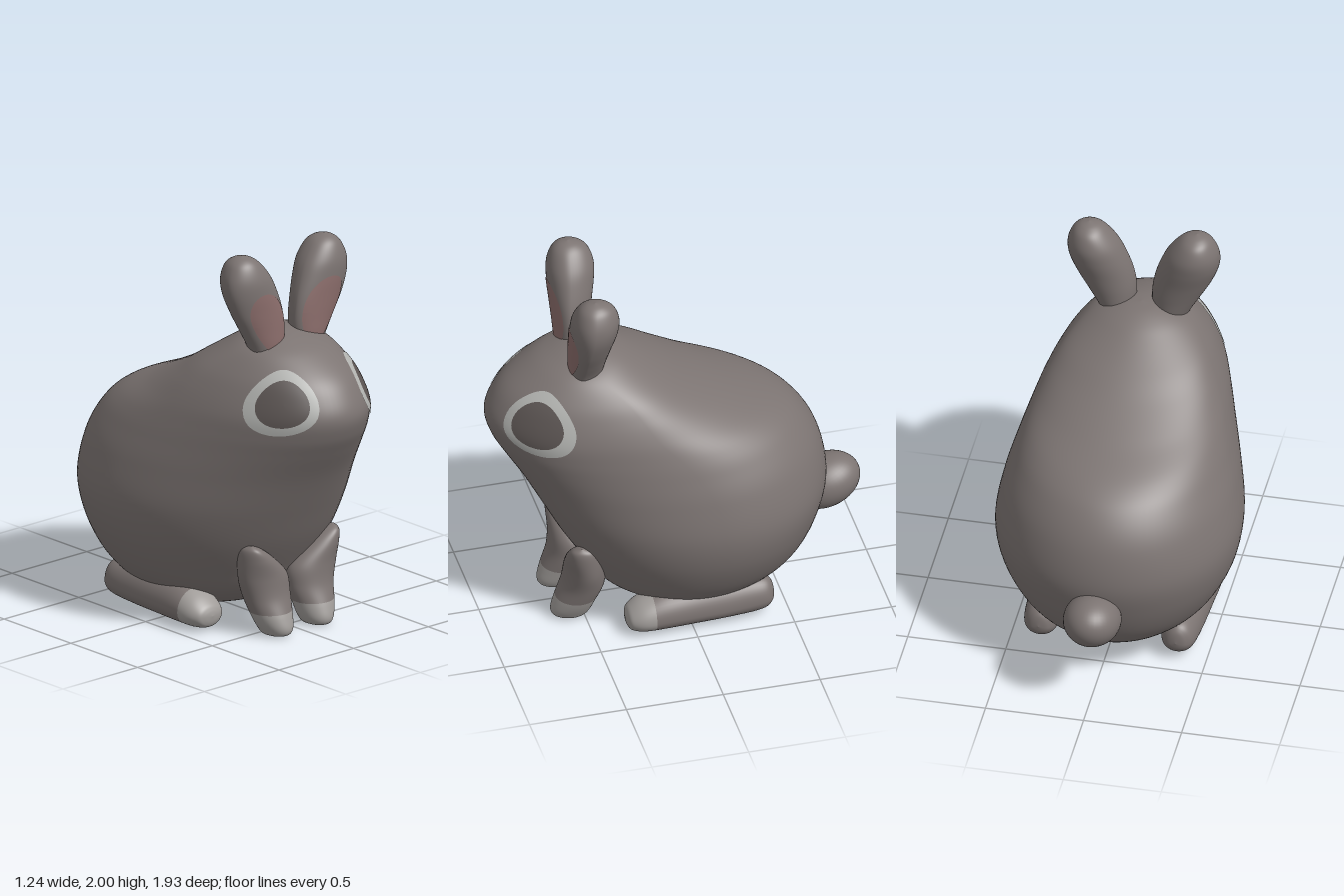
import * as THREE from 'three';

const COLORS = { fur: 0x7c7472, paw: 0xa09c99, ring: 0xb2b3b0, eye: 0x5c5553, pink: 0x8c6e6c };

// Slice rows: [height, centre x, half width, front z, back z, z of widest point]
const BODY = [
  [0.03, 0, 0, -0.08, -0.08, -0.08], [0.045, 0, 0.18, 0.12, -0.28, -0.08],
  [0.09, 0, 0.31, 0.27, -0.44, -0.08], [0.18, 0, 0.43, 0.41, -0.57, -0.08],
  [0.3, 0, 0.52, 0.49, -0.67, -0.1], [0.47, 0, 0.593, 0.595, -0.74, -0.12],
  [0.65, 0, 0.618, 0.69, -0.775, -0.12], [0.85, 0, 0.585, 0.795, -0.74, -0.08],
  [1.0, 0, 0.54, 0.885, -0.655, 0], [1.1, 0, 0.505, 0.94, -0.53, 0.08],
  [1.2, 0, 0.465, 0.965, -0.3, 0.18], [1.3, 0, 0.415, 0.93, -0.1, 0.25],
  [1.39, 0, 0.355, 0.86, 0.045, 0.32], [1.48, 0, 0.265, 0.73, 0.185, 0.42],
  [1.53, 0, 0.18, 0.62, 0.27, 0.43], [1.56, 0, 0.09, 0.52, 0.35, 0.43],
  [1.57, 0, 0, 0.43, 0.43, 0.43],
];
const EAR = [
  [1.4, 0.13, 0, 0.49, 0.49, 0.49], [1.42, 0.135, 0.08, 0.55, 0.43, 0.5],
  [1.5, 0.14, 0.095, 0.57, 0.4, 0.51], [1.6, 0.165, 0.125, 0.575, 0.385, 0.51],
  [1.7, 0.2, 0.145, 0.58, 0.37, 0.51], [1.8, 0.235, 0.147, 0.585, 0.35, 0.5],
  [1.88, 0.255, 0.13, 0.58, 0.345, 0.49], [1.95, 0.268, 0.09, 0.555, 0.37, 0.48],
  [1.985, 0.272, 0.05, 0.52, 0.415, 0.47], [2.0, 0.275, 0, 0.47, 0.47, 0.47],
];
const FRONT_LEG = [
  [0, 0.135, 0, 0.56, 0.56, 0.56], [0.004, 0.135, 0.055, 0.64, 0.49, 0.56],
  [0.035, 0.135, 0.08, 0.665, 0.46, 0.56], [0.1, 0.14, 0.105, 0.65, 0.435, 0.54],
  [0.2, 0.145, 0.13, 0.612, 0.395, 0.51], [0.3, 0.165, 0.138, 0.6, 0.4, 0.5],
  [0.4, 0.22, 0.09, 0.6, 0.42, 0.51], [0.46, 0.258, 0.045, 0.585, 0.46, 0.52],
  [0.485, 0.275, 0, 0.54, 0.54, 0.54],
];
// Sliced along the foot's length: the "front" is the sole, the "back" the top
const HIND_FOOT = [
  [-0.43, 0.35, 0, -0.11, -0.11, -0.11], [-0.415, 0.35, 0.05, -0.06, -0.175, -0.1],
  [-0.36, 0.35, 0.085, -0.025, -0.21, -0.1], [-0.2, 0.35, 0.1, -0.015, -0.217, -0.09],
  [0, 0.35, 0.11, -0.01, -0.217, -0.09], [0.15, 0.35, 0.117, -0.008, -0.21, -0.09],
  [0.25, 0.35, 0.112, -0.008, -0.18, -0.085], [0.31, 0.35, 0.085, -0.018, -0.14, -0.08],
  [0.33, 0.35, 0.05, -0.04, -0.11, -0.08], [0.337, 0.35, 0, -0.08, -0.08, -0.08],
];

// Smooth slice at t in 0..1
function sliceAt(rows, t) {
  const s = t * (rows.length - 1);
  const i = Math.min(Math.floor(s), rows.length - 2), f = s - i;
  const row = (k) => rows[Math.max(0, Math.min(rows.length - 1, k))];
  return rows[0].map((_, c) => {
    const [a, b, d, e] = [row(i - 1)[c], row(i)[c], row(i + 1)[c], row(i + 2)[c]];
    const m0 = (d - a) / 2, m1 = (e - b) / 2;
    return b + f * (m0 + f * (3 * (d - b) - 2 * m0 - m1 + f * (2 * (b - d) + m0 + m1)));
  });
}

// Parameter t at which the slices reach a given height
function tAt(rows, y) {
  let lo = 0, hi = 1;
  for (let k = 0; k < 30; k++) {
    const mid = (lo + hi) / 2;
    if (sliceAt(rows, mid)[0] < y) lo = mid; else hi = mid;
  }
  return lo;
}

// Point on an egg-shaped slice; grow lifts it off the surface
function surfacePoint(rows, side, u, t, grow = 0) {
  const [y, xc, w, zf, zb, zc] = sliceAt(rows, t);
  const s = Math.sin(u);
  const depth = (s > 0 ? zf - zc : zc - zb) + grow;
  return [side * xc + (w + grow) * Math.cos(u), y, zc + depth * s];
}

// Grid of points fn(i, j) with i, j in 0..1
function grid(fn, ni, nj, wrapJ) {
  const cols = wrapJ ? nj : nj + 1, pos = [], index = [];
  for (let i = 0; i <= ni; i++) for (let j = 0; j < cols; j++) pos.push(...fn(i / ni, j / nj));
  for (let i = 0; i < ni; i++) for (let j = 0; j < nj; j++) {
    const a = i * cols + j, b = i * cols + ((j + 1) % cols), c = a + cols, d = b + cols;
    index.push(a, c, b, b, c, d);
  }
  const g = new THREE.BufferGeometry();
  g.setAttribute('position', new THREE.Float32BufferAttribute(pos, 3));
  g.setIndex(index);
  g.computeVertexNormals();
  return g;
}

function part(name, geometry, color) {
  const mesh = new THREE.Mesh(geometry, new THREE.MeshStandardMaterial({ color }));
  mesh.name = name;
  return mesh;
}

const loft = (rows, side, t0 = 0, t1 = 1, ni = 64, nj = 48) =>
  grid((i, j) => surfacePoint(rows, side, j * Math.PI * 2, t0 + (t1 - t0) * i), ni, nj, true);

// Oval marking (or ring, if r0 > 0) lying on a lofted surface
function marking(rows, side, u0, y0, du, dy, r0, grow) {
  return grid((i, j) => {
    const phi = i * Math.PI * 2, r = r0 + (1 - r0) * j;
    const t = tAt(rows, y0 + dy * r * Math.sin(phi));
    return surfacePoint(rows, side, u0 + du * r * Math.cos(phi), t, grow);
  }, 48, 8, false);
}

export function createModel() {
  const model = new THREE.Group();
  model.name = 'rabbit';

  // Head and body are one smooth form
  model.add(part('body', loft(BODY, 1, 0, 1, 112, 96), COLORS.fur));

  // Tail
  const tail = part('tail', new THREE.SphereGeometry(1, 40, 28), COLORS.fur);
  tail.scale.set(0.145, 0.135, 0.185);
  tail.position.set(0, 0.475, -0.785);
  tail.rotation.x = 0.35;
  model.add(tail);

  for (const side of [1, -1]) {
    const label = side > 0 ? 'left' : 'right';

    // Eye with its pale ring
    const eyeAngle = side > 0 ? 0.88 : Math.PI - 0.88;
    model.add(part(label + 'EyeRing', marking(BODY, 1, eyeAngle, 1.285, 0.35, 0.155, 0.72, 0.004), COLORS.ring));
    model.add(part(label + 'Eye', marking(BODY, 1, eyeAngle, 1.285, 0.252, 0.1116, 0, 0.004), COLORS.eye));

    // Ear with pink inside
    model.add(part(label + 'Ear', loft(EAR, side), COLORS.fur));
    const innerAngle = Math.PI / 2 + side * 0.1;
    model.add(part(label + 'InnerEar', marking(EAR, side, innerAngle, 1.64, 0.9, 0.17, 0, 0.003), COLORS.pink));

    // Front leg and pale paw
    const wrist = tAt(FRONT_LEG, 0.12);
    model.add(part(label + 'FrontPaw', loft(FRONT_LEG, side, 0, wrist, 24), COLORS.paw));
    model.add(part(label + 'FrontLeg', loft(FRONT_LEG, side, wrist, 1, 40), COLORS.fur));

    // Hind foot and pale toes, laid along z
    const instep = tAt(HIND_FOOT, 0.2);
    const foot = new THREE.Group();
    foot.name = label + 'HindFoot';
    foot.rotation.x = Math.PI / 2;
    foot.add(part('foot', loft(HIND_FOOT, side, 0, instep, 40), COLORS.fur));
    foot.add(part('toes', loft(HIND_FOOT, side, instep, 1, 24), COLORS.paw));
    model.add(foot);
  }
  return model;
}
